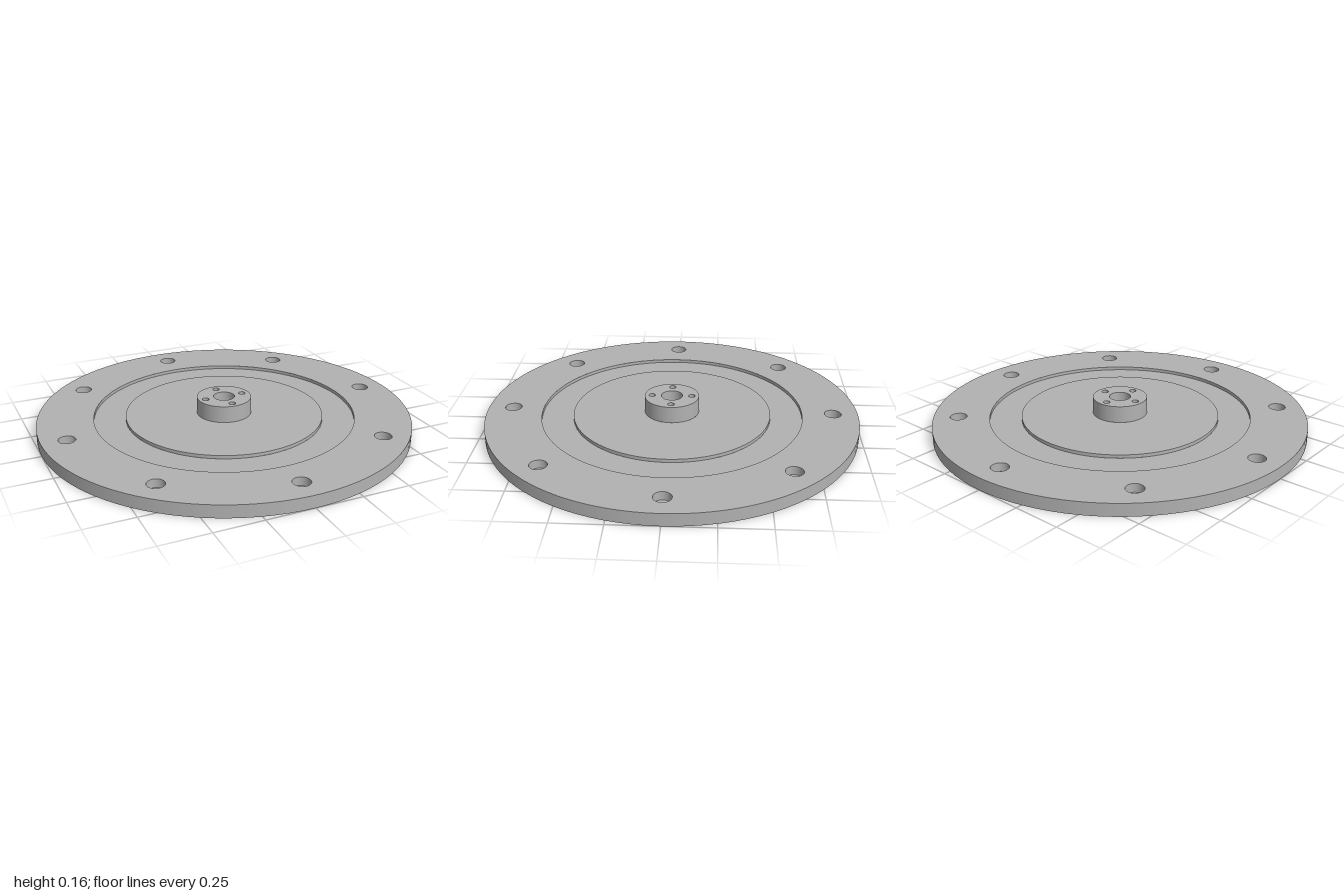
import * as THREE from 'three';
import { mergeGeometries } from 'three/addons/utils/BufferGeometryUtils.js';

const SEG = 96;
const TOP = 0.067, GROOVE = 0.049, HUB_TOP = 0.157;
const SHOULDER = 0.022; // floor height of the rim counterbores
const POCKET = 0.025;   // depth of the pockets under the hub
const BORE = 0.057;

// Points evenly spaced on a circle: [x, z]
const ringOf = (n, r) => Array.from({ length: n }, (_, i) => {
  const a = (i / n) * Math.PI * 2;
  return [r * Math.cos(a), r * Math.sin(a)];
});
const rimSpots = ringOf(8, 0.867);
const hubSpots = ringOf(4, 0.107);

// Flat disc at height y with circular holes [x, z, radius]; faces up or down
function face(y, r, holes, up = true, x = 0, z = 0) {
  const shape = new THREE.Shape().absarc(0, 0, r, 0, Math.PI * 2);
  for (const [hx, hz, hr] of holes) {
    shape.holes.push(new THREE.Path().absarc(hx, hz, hr, 0, Math.PI * 2, true));
  }
  return new THREE.ShapeGeometry(shape, SEG)
    .rotateX(up ? -Math.PI / 2 : Math.PI / 2).translate(x, y, z);
}

// Round wall; rising y faces outward, falling y faces inward
function wall(r, y0, y1, x = 0, z = 0) {
  return new THREE.LatheGeometry([new THREE.Vector2(r, y0), new THREE.Vector2(r, y1)], SEG)
    .translate(x, 0, z);
}

const sized = (spots, r) => spots.map(([x, z]) => [x, z, r]);

export function createModel() {
  const metal = new THREE.MeshStandardMaterial({ color: 0xb2b2b2 });
  metal.name = 'grey metal';
  const group = new THREE.Group();
  group.name = 'flange';
  const add = (name, parts) => {
    const mesh = new THREE.Mesh(mergeGeometries(parts), metal);
    mesh.name = name;
    group.add(mesh);
  };

  // Underside with all openings
  add('underside', [
    face(0, 1, [[0, 0, BORE], ...sized(rimSpots, 0.023), ...sized(hubSpots, 0.027)], false),
  ]);
  // Outer ring
  add('outerRing', [wall(1, 0, TOP), face(TOP, 1, [[0, 0, 0.7], ...sized(rimSpots, 0.045)])]);
  // Recessed ring between outer ring and centre disc
  add('groove', [
    wall(0.7, TOP, GROOVE), face(GROOVE, 0.7, [[0, 0, 0.53]]), wall(0.53, GROOVE, TOP),
  ]);
  add('centreDisc', [face(TOP, 0.53, [[0, 0, 0.146]])]);
  // Raised hub with its bore
  add('hub', [
    wall(0.146, TOP, HUB_TOP),
    face(HUB_TOP, 0.146, [[0, 0, BORE], ...sized(hubSpots, 0.018)]),
    wall(BORE, HUB_TOP, 0),
  ]);
  // Stepped holes through the rim, wide at the top
  add('rimHoles', rimSpots.flatMap(([x, z]) => [
    wall(0.045, TOP, SHOULDER, x, z),
    face(SHOULDER, 0.045, [[0, 0, 0.023]], true, x, z),
    wall(0.023, SHOULDER, 0, x, z),
  ]));
  // Stepped holes through the hub, wide at the bottom
  add('hubHoles', hubSpots.flatMap(([x, z]) => [
    wall(0.018, HUB_TOP, POCKET, x, z),
    face(POCKET, 0.027, [[0, 0, 0.018]], false, x, z),
    wall(0.027, POCKET, 0, x, z),
  ]));
  return group;
}
